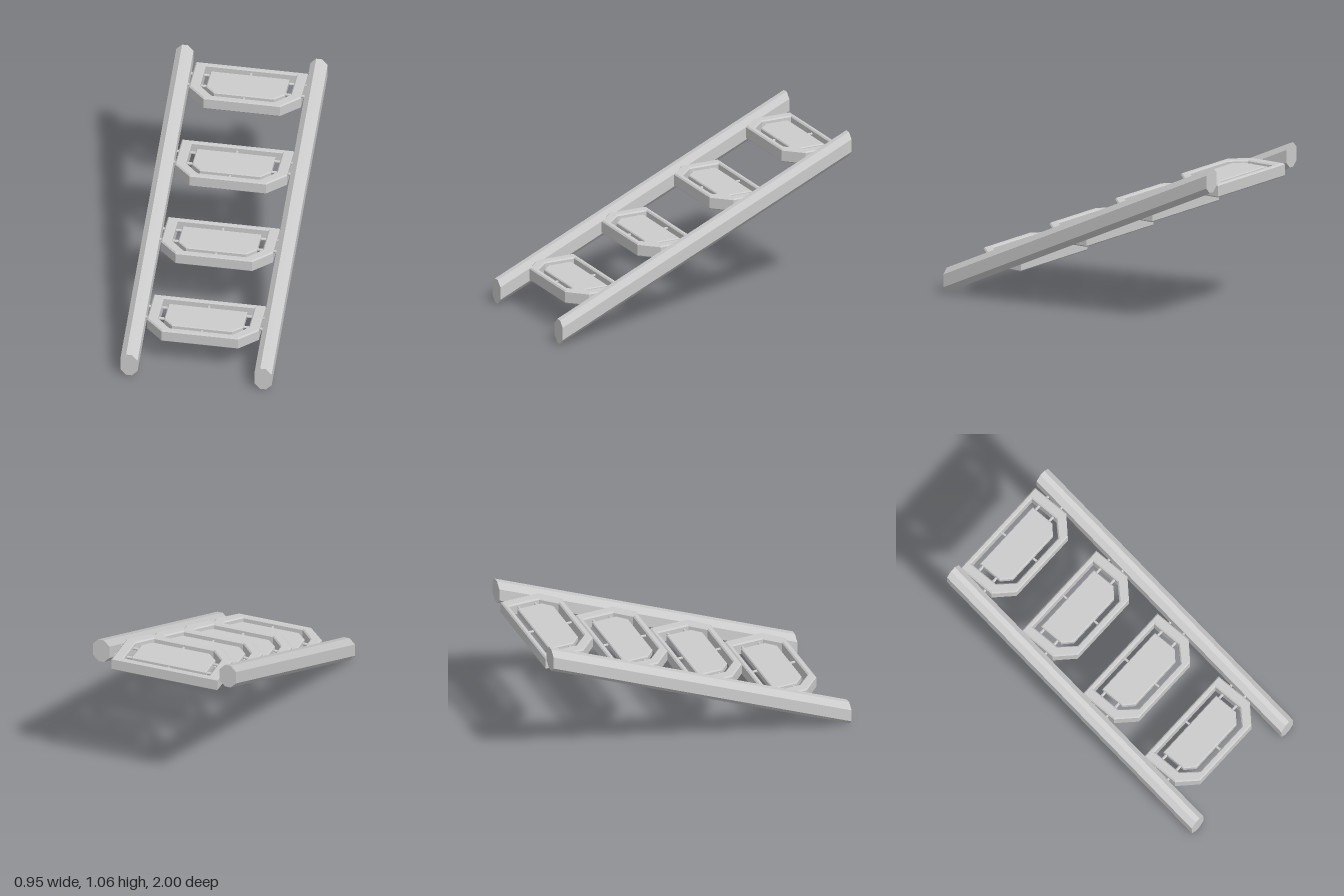
import * as THREE from 'three';

const material = new THREE.MeshStandardMaterial({ color: 0xcccccc, flatShading: true });
const STEPS = 4;
const SLOPE = 0.4535;   // rise of the rails per unit of depth

function part(name, geometry, parent) {
  const mesh = new THREE.Mesh(geometry, material);
  mesh.name = name;
  parent.add(mesh);
  return mesh;
}

// Mirrored tread outline: straight back edge, front corners cut off
function outline(halfWidth, back, cornerZ, frontHalf, front) {
  return [
    [-halfWidth, back], [halfWidth, back], [halfWidth, cornerZ],
    [frontHalf, front], [-frontHalf, front], [-halfWidth, cornerZ],
  ].map(([x, z]) => new THREE.Vector2(x, z));
}

// Horizontal bevelled slab between two heights
function slab(shape, bottom, top, bevel) {
  const geometry = new THREE.ExtrudeGeometry(shape, {
    depth: top - bottom - 2 * bevel, bevelEnabled: true, bevelSegments: 1,
    bevelThickness: bevel, bevelSize: bevel, bevelOffset: -bevel,
  });
  geometry.rotateX(Math.PI / 2);
  geometry.translate(0, top - bevel, 0);
  return geometry;
}

// Sloping eight-sided rail with upright end cuts
function railGeometry() {
  const profile = [
    [-0.018, 0], [0.018, 0], [0.054, 0.037], [0.054, 0.118],
    [0.018, 0.155], [-0.018, 0.155], [-0.054, 0.118], [-0.054, 0.037],
  ].map(([x, y]) => new THREE.Vector2(x, y));
  const geometry = new THREE.ExtrudeGeometry(new THREE.Shape(profile), { depth: 2, bevelEnabled: false });
  geometry.translate(0, 0, -1);
  const p = geometry.attributes.position;
  for (let i = 0; i < p.count; i++) p.setY(i, p.getY(i) + (1 - p.getZ(i)) * SLOPE);
  geometry.computeVertexNormals();
  return geometry;
}

function createStep() {
  const step = new THREE.Group();

  // Outer ring
  const frame = new THREE.Shape(outline(0.35, 0, 0.255, 0.24, 0.364));
  frame.holes.push(new THREE.Path(outline(0.283, 0.032, 0.232, 0.195, 0.324).reverse()));
  part('stepFrame', slab(frame, 0, 0.084, 0.008), step);

  // Inner tread panel
  const panel = new THREE.Shape(outline(0.246, 0.07, 0.232, 0.188, 0.288));
  part('treadPanel', slab(panel, 0.034, 0.076, 0.006), step);

  // Pins joining rails, frame and panel
  for (const side of [-1, 1]) {
    for (const z of [0.093, 0.205]) {
      const pin = part('sidePin', new THREE.CylinderGeometry(0.009, 0.009, 0.17, 8), step);
      pin.rotation.z = Math.PI / 2;
      pin.position.set(side * 0.305, 0.056, z);
    }
  }
  for (const z of [0.05, 0.308]) {
    const pin = part('middlePin', new THREE.CylinderGeometry(0.008, 0.008, 0.06, 8), step);
    pin.rotation.x = Math.PI / 2;
    pin.position.set(0, 0.056, z);
  }
  return step;
}

export function createModel() {
  const model = new THREE.Group();
  model.name = 'ladder';

  // Side rails
  const rail = railGeometry();
  part('leftRail', rail, model).position.x = 0.419;
  part('rightRail', rail, model).position.x = -0.419;

  // Steps climbing towards the back
  for (let i = 0; i < STEPS; i++) {
    const step = createStep();
    step.name = `step${i + 1}`;
    step.position.set(0, 0.181 + i * 0.2268, 0.5 - i * 0.5);
    model.add(step);
  }
  return model;
}
